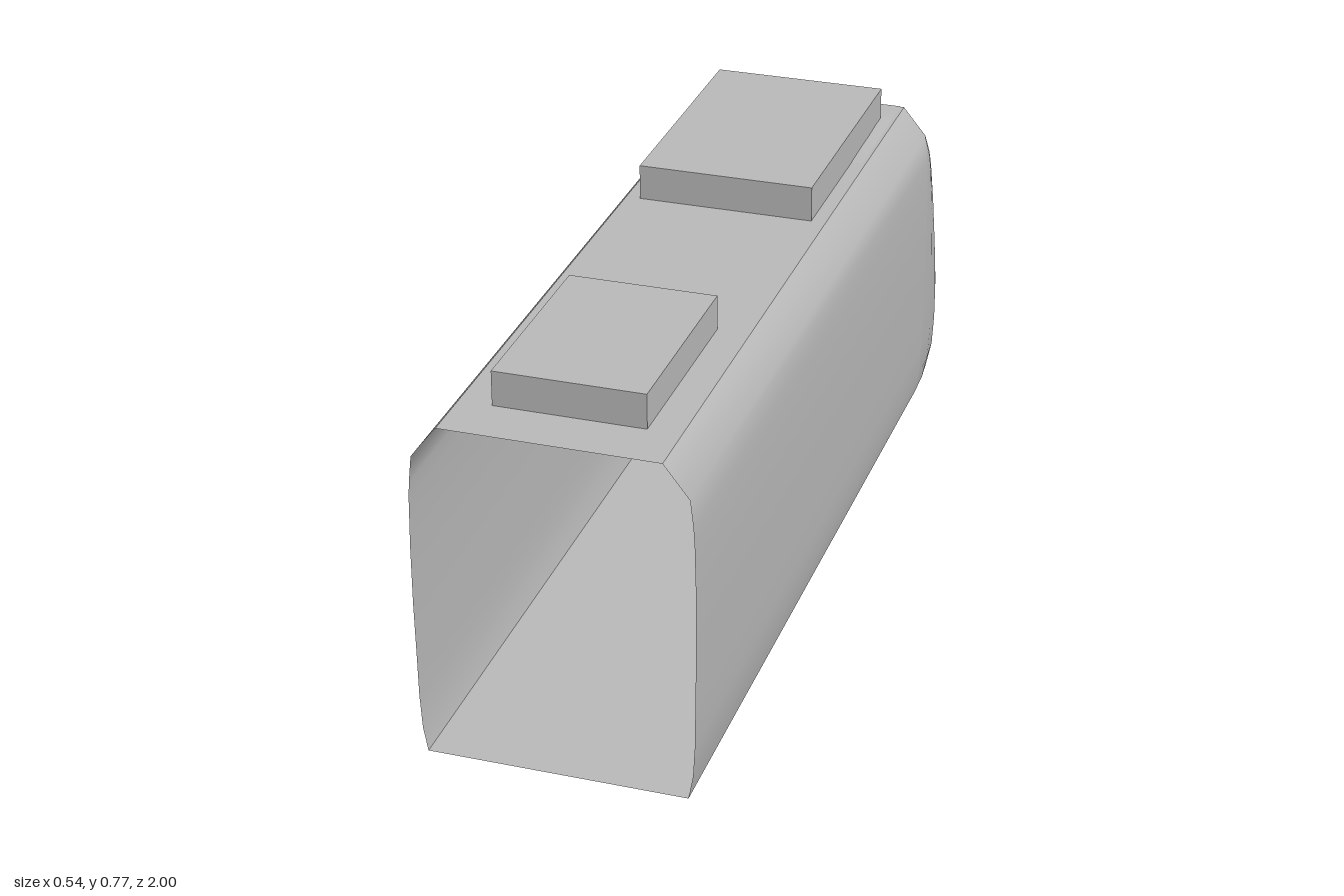
import * as THREE from 'three';
import { toCreasedNormals } from 'three/addons/utils/BufferGeometryUtils.js';

// Half section of the shell: half width, height, depth of the nose at that height
const LEVELS = [
  [0.256, 0, 0.305], [0.265, 0.05, 0.338], [0.269, 0.12, 0.338], [0.27, 0.2, 0.33],
  [0.272, 0.32, 0.267], [0.272, 0.44, 0.202], [0.27, 0.54, 0.147], [0.268, 0.575, 0.122],
  [0.262, 0.63, 0.038], [0.212, 0.695, 0]
];
const SEAM = -0.66;

// Plan of the nose: fraction of half width, fraction of depth
const HALF_PLAN = [[1, 0], [0.99, 0.25], [0.965, 0.45], [0.92, 0.6], [0.84, 0.75],
  [0.74, 0.86], [0.62, 0.93], [0.48, 0.97], [0.25, 0.99], [0, 1]];

// Surface through rows of points
function loft(rows, crease) {
  const pos = [], index = [], n = rows[0].length;
  rows.forEach(row => row.forEach(p => pos.push(...p)));
  for (let i = 0; i < rows.length - 1; i++) {
    for (let j = 0; j < n - 1; j++) {
      const a = i * n + j, b = a + 1, c = a + n, d = c + 1;
      index.push(a, b, d, a, d, c);
    }
  }
  const g = new THREE.BufferGeometry();
  g.setAttribute('position', new THREE.Float32BufferAttribute(pos, 3));
  g.setIndex(index);
  return toCreasedNormals(g, crease);
}

export function createModel() {
  const group = new THREE.Group();
  const grey = new THREE.MeshStandardMaterial({ color: 0xbbbbbb, side: THREE.DoubleSide });
  grey.name = 'grey';
  const add = (name, geometry) => {
    const mesh = new THREE.Mesh(geometry, grey);
    mesh.name = name;
    group.add(mesh);
    return mesh;
  };

  // Hollow body, open at the front end
  const ring = LEVELS.map(([w, y]) => [w, y]);
  ring.push(...LEVELS.map(([w, y]) => [-w, y]).reverse(), [LEVELS[0][0], 0]);
  add('bodyShell', loft([SEAM, 1].map(z => ring.map(([x, y]) => [x, y, z])), 0.8));

  // Rounded, sloping nose
  const plan = [...HALF_PLAN, ...HALF_PLAN.slice(0, -1).reverse().map(([u, v]) => [-u, v])];
  const noseRows = LEVELS.map(([w, y, d]) => plan.map(([u, v]) => [u * w, y, SEAM - v * d]));
  noseRows.reverse();
  add('nose', loft(noseRows, 0.8));

  // Floor under the nose
  const [w0, , d0] = LEVELS[0];
  const floor = new THREE.ShapeGeometry(new THREE.Shape(
    plan.map(([u, v]) => new THREE.Vector2(u * w0, SEAM - v * d0))));
  floor.rotateX(Math.PI / 2);
  add('noseFloor', floor);

  // Low fairing on the roof behind the nose
  const fairing = [[SEAM, 0], [-0.62, 0.012], [-0.57, 0.024], [-0.48, 0.012], [-0.34, 0]];
  add('roofFairing', loft(fairing.map(([z, h]) =>
    [-1, -0.8, -0.4, 0, 0.4, 0.8, 1].map(u => [u * 0.205, 0.696 + h * (1 - u * u), z])), 1));

  // Roof boxes: half width, height, rear z, front z
  [['frontRoofUnit', 0.147, 0.07, 0.48, 0.89], ['rearRoofUnit', 0.182, 0.073, -0.575, -0.035]]
    .forEach(([name, w, h, z0, z1]) => {
      add(name, new THREE.BoxGeometry(w * 2, h, z1 - z0)).position.set(0, 0.695 + h / 2, (z0 + z1) / 2);
    });

  return group;
}
